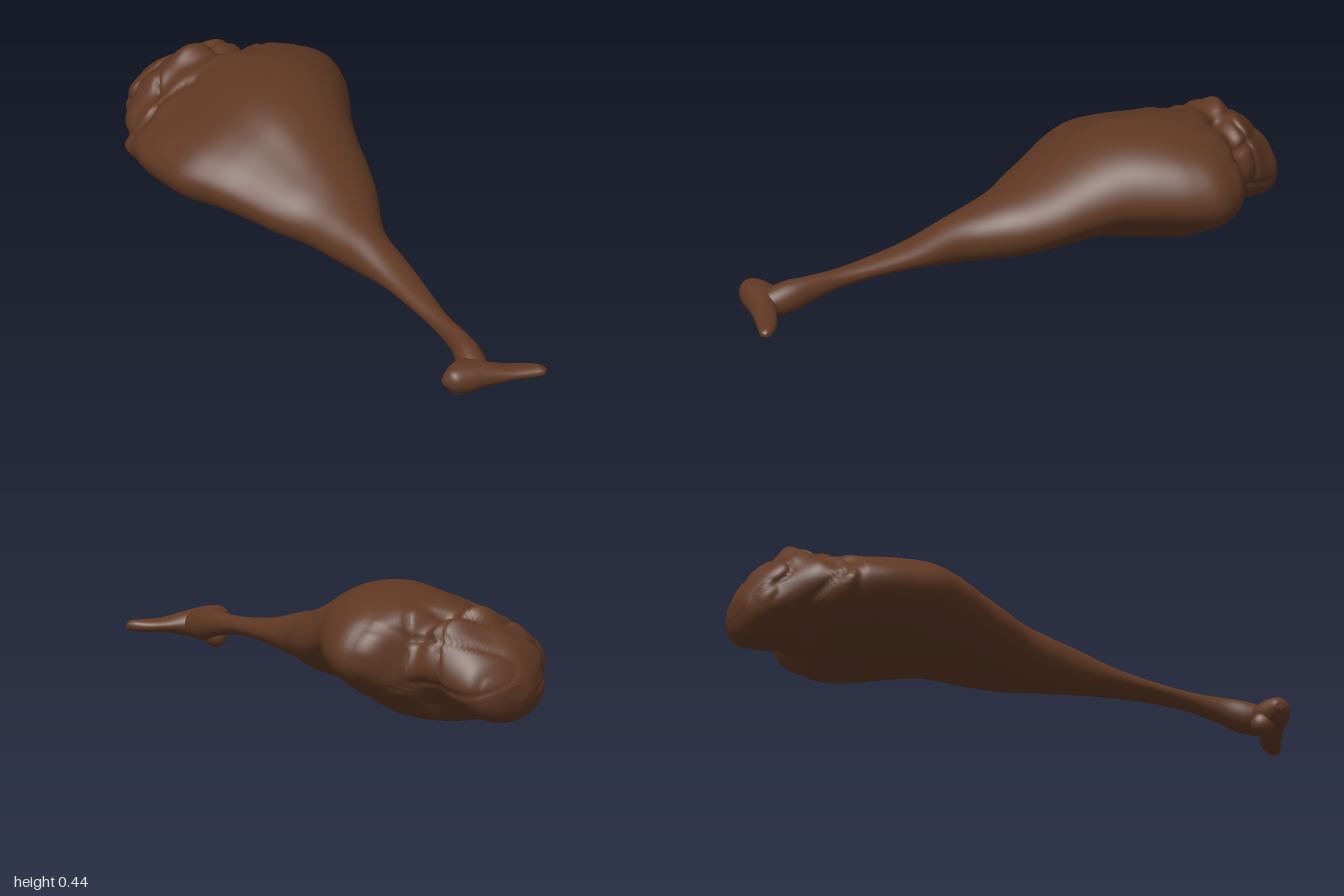
import * as THREE from 'three';

const SIDES = 96, STEPS = 8;

// Meat and shank: x, bottom y, top y, back z, front z
const LEG = [
  [-1.0, 0.12, 0.17, 0.0, 0.1],
  [-0.985, 0.07, 0.21, -0.05, 0.14],
  [-0.95, 0.04, 0.265, -0.1, 0.19],
  [-0.88, 0.035, 0.335, -0.14, 0.23],
  [-0.81, 0.03, 0.395, -0.165, 0.275],
  [-0.75, 0.015, 0.375, -0.19, 0.325],
  [-0.7, 0.006, 0.405, -0.31, 0.355],
  [-0.6, 0.001, 0.43, -0.38, 0.375],
  [-0.5, 0.01, 0.442, -0.36, 0.375],
  [-0.4, 0.03, 0.438, -0.31, 0.365],
  [-0.3, 0.048, 0.415, -0.25, 0.32],
  [-0.2, 0.053, 0.372, -0.21, 0.27],
  [-0.1, 0.058, 0.325, -0.18, 0.225],
  [0.0, 0.065, 0.285, -0.14, 0.168],
  [0.1, 0.072, 0.252, -0.085, 0.137],
  [0.2, 0.08, 0.228, -0.045, 0.112],
  [0.35, 0.098, 0.188, -0.03, 0.092],
  [0.5, 0.1, 0.163, -0.005, 0.084],
  [0.62, 0.088, 0.152, 0.015, 0.08],
  [0.72, 0.065, 0.152, 0.018, 0.085],
  [0.8, 0.04, 0.147, 0.018, 0.11],
  [0.87, 0.04, 0.125, 0.035, 0.12],
  [0.9, 0.06, 0.1, 0.055, 0.095],
];

// Foot stub: z, bottom y, top y, left x, right x
const FOOT = [
  [0.207, 0.075, 0.1, 0.85, 0.88],
  [0.185, 0.05, 0.127, 0.835, 0.91],
  [0.14, 0.03, 0.135, 0.81, 0.925],
  [0.09, 0.035, 0.13, 0.81, 0.935],
  [0.04, 0.045, 0.115, 0.855, 0.95],
  [-0.01, 0.055, 0.102, 0.885, 0.968],
  [-0.06, 0.056, 0.098, 0.915, 0.988],
  [-0.095, 0.06, 0.096, 0.945, 1.0],
  [-0.112, 0.07, 0.086, 0.972, 0.99],
];

// Radius of the lopsided meat section every 22.5 degrees, from the front over the top
const MEAT = [1, 0.89, 0.81, 0.82, 0.95, 1.04, 1.07, 1.04, 1, 0.9, 0.84, 0.91, 0.98, 0.92, 0.92, 0.99];

function spline(a, b, c, d, t) {
  return 0.5 * (2 * b + (c - a) * t + (2 * a - 5 * b + 4 * c - d) * t * t + (3 * b - a - 3 * c + d) * t * t * t);
}

function meatRadius(turn) {
  const n = MEAT.length, k = Math.floor(turn * n), at = (i) => MEAT[(i + n) % n];
  return spline(at(k - 1), at(k), at(k + 1), at(k + 2), turn * n - k);
}

// Smooth closed skin through the rows; place(s, y, w, ...) maps a point to x, y, z
function loft(rows, radius, place) {
  const pos = [], idx = [], last = rows.length - 1, count = last * STEPS + 1;
  const row = (i) => rows[Math.min(last, Math.max(0, i))];
  for (let i = 0; i < count; i++) {
    const k = Math.min(last - 1, Math.floor(i / STEPS)), t = i / STEPS - k;
    const [s, y0, y1, w0, w1] = row(k).map((v, c) => spline(row(k - 1)[c], v, row(k + 1)[c], row(k + 2)[c], t));
    const cy = (y0 + y1) / 2, cw = (w0 + w1) / 2;
    for (let j = 0; j < SIDES; j++) {
      const a = (j / SIDES) * Math.PI * 2, r = radius(s, j / SIDES);
      pos.push(...place(s, cy + (r * (y1 - y0) * Math.sin(a)) / 2, cw + (r * (w1 - w0) * Math.cos(a)) / 2, cy, cw));
    }
  }
  for (let i = 0; i < count - 1; i++) {
    for (let j = 0; j < SIDES; j++) {
      const a = i * SIDES + j, d = i * SIDES + ((j + 1) % SIDES), b = a + SIDES, c = d + SIDES;
      idx.push(a, b, d, b, c, d);
    }
  }
  // End caps
  const end = (count - 1) * SIDES;
  for (let j = 1; j < SIDES - 1; j++) idx.push(0, j, j + 1, end, end + j + 1, end + j);
  const g = new THREE.BufferGeometry();
  g.setAttribute('position', new THREE.Float32BufferAttribute(pos, 3));
  g.setIndex(idx);
  g.computeVertexNormals();
  return g;
}

// Lopsided meat blends into a round shank
function legRadius(x, turn) {
  const meat = 1 - THREE.MathUtils.smoothstep(x, -0.35, 0.2);
  const knob = THREE.MathUtils.smoothstep(x, -0.95, -0.75);
  return THREE.MathUtils.lerp(1, meatRadius(turn), meat * knob);
}

// Torn, lumpy flesh at the thick end, gently uneven skin elsewhere
function fleshy(x, y, z, cy, cz) {
  const torn = 1 - THREE.MathUtils.smoothstep(x, -0.76, -0.6);
  const top = THREE.MathUtils.smoothstep(y, 0.08, 0.2);
  const lumps = Math.sin(25 * x + 17 * z + 2) * Math.sin(28 * z - 15 * y) * 0.05;
  const crease = -0.11 * Math.pow(1 - Math.abs(Math.sin(14 * z + 9 * x + 1.5 * Math.sin(20 * y))), 4);
  const ridge = -0.08 * Math.pow(1 - Math.abs(Math.sin(19 * x - 6 * z + Math.sin(16 * z))), 5);
  const soft = 0.01 * Math.sin(9 * x + 5 * z) * Math.sin(11 * z + 6 * y);
  const k = 1 + soft + torn * top * (lumps + crease + ridge + 0.02);
  return [x, cy + (y - cy) * k, cz + (z - cz) * k];
}

export function createModel() {
  const group = new THREE.Group();
  group.name = 'drumstick';
  const roast = new THREE.MeshStandardMaterial({ color: 0x5f3823 });
  roast.name = 'roasted brown';

  const add = (name, geometry) => {
    const mesh = new THREE.Mesh(geometry, roast);
    mesh.name = name;
    group.add(mesh);
    return mesh;
  };

  add('meatAndShank', loft(LEG, legRadius, fleshy));
  add('footStub', loft(FOOT, () => 1, (s, y, w) => [w, y, s]));

  // Small knob under the ankle
  const knob = add('ankleKnob', new THREE.SphereGeometry(1, 24, 16));
  knob.position.set(0.84, 0.045, 0.135);
  knob.scale.set(0.045, 0.042, 0.035);
  knob.rotation.z = 0.3;
  return group;
}
